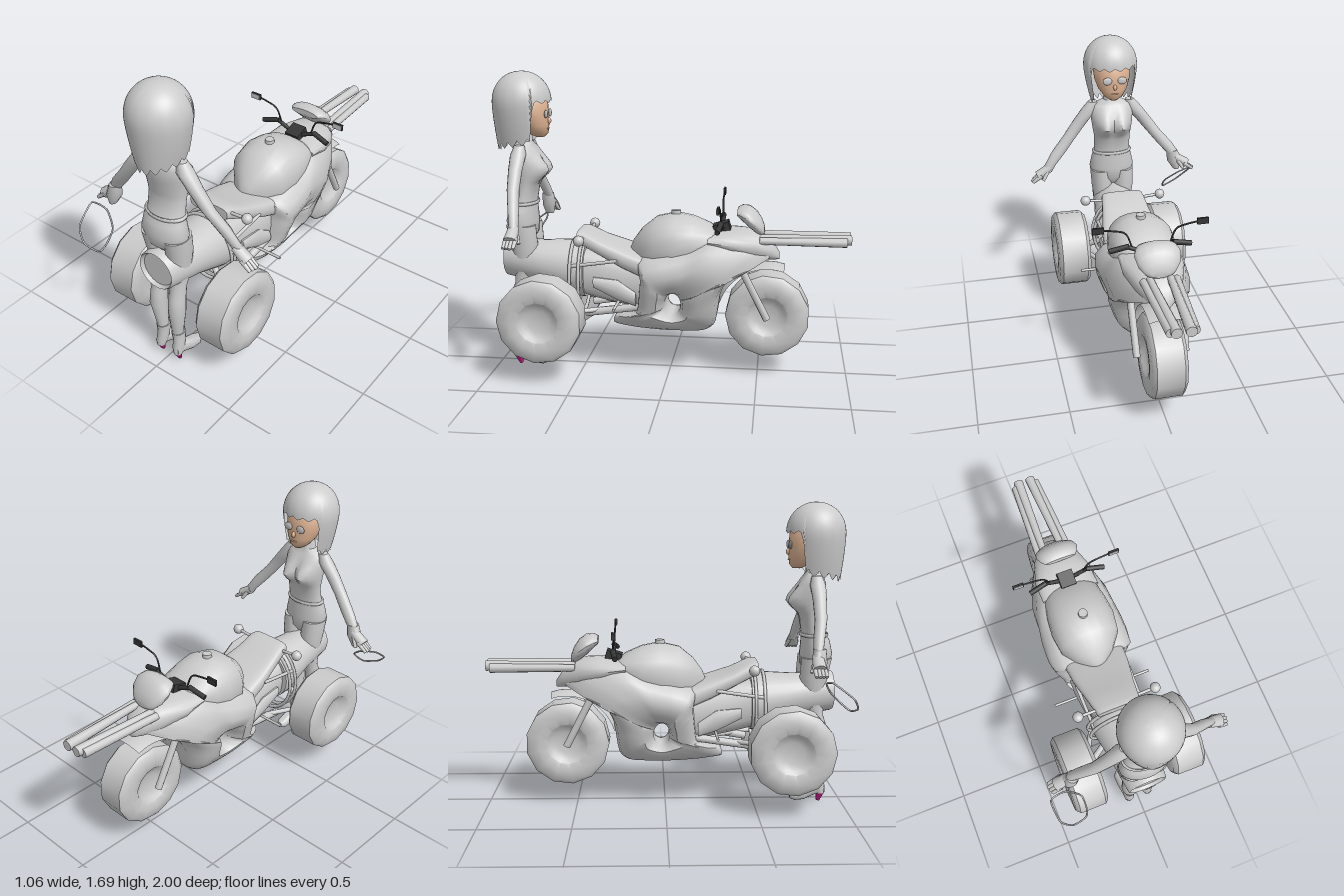
import * as THREE from 'three';
import { toCreasedNormals } from 'three/addons/utils/BufferGeometryUtils.js';

const material = (name, color, side = THREE.FrontSide) => {
  const m = new THREE.MeshStandardMaterial({ color, side });
  m.name = name;
  return m;
};

export function createModel() {
  const root = new THREE.Group();
  const grey = material('grey', 0xcccccc, THREE.DoubleSide);
  const dark = material('dark', 0x363636);
  const skin = material('skin', 0xdfb494);
  const pink = material('pink', 0xb8147f);
  const V = (x, y, z) => new THREE.Vector3(x, y, z);
  const rider = new THREE.Group(), trike = new THREE.Group();
  rider.name = 'rider';
  trike.name = 'trike';
  root.add(rider, trike);

  const add = (group, name, geo, mat = grey, x = 0, y = 0, z = 0) => {
    const mesh = new THREE.Mesh(geo, mat);
    mesh.name = name;
    mesh.position.set(x, y, z);
    group.add(mesh);
    return mesh;
  };
  // surface through a grid of points f(column, row)
  const grid = (nu, nv, f, crease = 0.8) => {
    const pos = [], idx = [];
    for (let i = 0; i <= nv; i++) for (let j = 0; j <= nu; j++) pos.push(...f(j, i));
    for (let i = 0; i < nv; i++) for (let j = 0; j < nu; j++) {
      const a = i * (nu + 1) + j, b = a + nu + 1;
      idx.push(a, b, a + 1, b, b + 1, a + 1);
    }
    const g = new THREE.BufferGeometry();
    g.setAttribute('position', new THREE.Float32BufferAttribute(pos, 3));
    g.setIndex(idx);
    return toCreasedNormals(g, crease);
  };
  // closed loft; along z a section is [z, cy, rx, ry], along y it is [y, cz, rx, rz, cx]
  const loft = (axis, sections, n = 20, power = 2, shift = () => 0) => grid(n, sections.length + 1, (j, i) => {
    const k = Math.min(Math.max(i - 1, 0), sections.length - 1);
    const [h, c, r1, r2, cx = 0] = sections[k];
    const cap = i === 0 || i === sections.length + 1 ? 0 : 1;
    const a = (j % n) / n * Math.PI * 2;
    const bend = t => Math.sign(t) * Math.pow(Math.abs(t), 2 / power) * cap;
    const x = cx + r1 * bend(Math.cos(a)), o = c + r2 * bend(Math.sin(a));
    return axis === 'z' ? [x, o, h] : [x, h, o + shift(x, h, o - c)];
  });
  const rod = (group, name, a, b, r, mat = grey, r2 = r) => {
    const d = b.clone().sub(a);
    const m = add(group, name, new THREE.CylinderGeometry(r2, r, d.length(), 10), mat);
    m.position.copy(a).addScaledVector(d, 0.5);
    m.quaternion.setFromUnitVectors(V(0, 1, 0), d.normalize());
    return m;
  };
  const blob = (group, name, x, y, z, rx, ry, rz, mat = grey) =>
    add(group, name, new THREE.SphereGeometry(1, 18, 12), mat, x, y, z).scale.set(rx, ry, rz);

  // wheels with dished hubs
  const wheel = (name, x, y, z, w) => {
    const profile = [[0, -0.6], [0.06, -0.64], [0.095, -0.75], [0.115, -0.95], [0.16, -1], [0.212, -0.96], [0.235, -0.75],
      [0.235, 0.75], [0.212, 0.96], [0.16, 1], [0.115, 0.95], [0.095, 0.75], [0.06, 0.64], [0, 0.6]];
    const g = new THREE.LatheGeometry(profile.map(([r, h]) => new THREE.Vector2(r, h * w)), 13);
    add(trike, name, toCreasedNormals(g, 0.7), grey, x, y, z).rotation.z = Math.PI / 2;
  };
  wheel('frontWheel', 0, 0.345, -0.55, 0.1);
  for (const s of [1, -1]) wheel('rearWheel', s * 0.305, 0.362, 0.68, 0.103);

  // fairing: a bulged shell round a through-hole
  const outline = new THREE.CatmullRomCurve3([[0.16, 0.57], [0.17, 0.67], [0.04, 0.71], [-0.12, 0.75], [-0.25, 0.81],
    [-0.42, 0.81], [-0.55, 0.77], [-0.59, 0.7], [-0.48, 0.66], [-0.36, 0.6], [-0.29, 0.48], [-0.26, 0.3], [-0.2, 0.245],
    [0, 0.24], [0.2, 0.25], [0.32, 0.265], [0.31, 0.315], [0.19, 0.36], [0.17, 0.46]].map(p => V(0, p[1], p[0])),
  true, 'catmullrom', 0.3).getPoints(64);
  const half = [[0, 0], [0, 0.45], [0.08, 0.75], [0.25, 0.96], [0.5, 1], [0.75, 0.97], [0.92, 0.8], [1, 0.45], [1, 0]];
  const loop = [...half, ...half.slice(1, -1).reverse().map(([t, s]) => [t, -s]), half[0]];
  const sample = (table, v) => {
    let i = 0;
    while (i < table.length - 2 && v > table[i + 1][0]) i++;
    const [a, b] = [table[i], table[i + 1]];
    return THREE.MathUtils.lerp(a[1], b[1], THREE.MathUtils.clamp((v - a[0]) / (b[0] - a[0]), 0, 1));
  };
  const widthByY = [[0.24, 0.11], [0.35, 0.19], [0.5, 0.24], [0.6, 0.255], [0.72, 0.225], [0.82, 0.195]];
  const widthByZ = [[-0.6, 0.35], [-0.4, 0.75], [-0.25, 0.92], [0.05, 1], [0.17, 0.95], [0.33, 0.7]];
  add(trike, 'fairing', grid(64, loop.length - 1, (j, i) => {
    const p = outline[j % 64], [t, s] = loop[i], a = Math.atan2(p.y - 0.4, p.z + 0.02);
    const z = THREE.MathUtils.lerp(-0.02 + 0.045 * Math.cos(a), p.z, t);
    const y = THREE.MathUtils.lerp(0.4 + 0.065 * Math.sin(a), p.y, t);
    return [s * sample(widthByY, y) * sample(widthByZ, z), y, z];
  }));

  // tank, nose, seat and tail
  add(trike, 'tank', loft('z', [[-0.27, 0.77, 0.11, 0.04], [-0.22, 0.76, 0.16, 0.09], [-0.13, 0.74, 0.18, 0.15],
    [-0.03, 0.73, 0.19, 0.18], [0.08, 0.72, 0.175, 0.165], [0.16, 0.7, 0.11, 0.12], [0.21, 0.68, 0.05, 0.07], [0.23, 0.66, 0.02, 0.04]], 24, 2.3));
  add(trike, 'fuelCap', new THREE.CylinderGeometry(0.026, 0.028, 0.03, 12), grey, 0, 0.91, -0.03);
  add(trike, 'noseCowl', loft('z', [[-0.22, 0.78, 0.17, 0.03], [-0.35, 0.765, 0.17, 0.065], [-0.48, 0.745, 0.13, 0.08],
    [-0.57, 0.71, 0.075, 0.05], [-0.61, 0.68, 0.03, 0.02]], 20, 2.4));
  add(trike, 'screenCowl', loft('z', [[-0.375, 0.925, 0.09, 0.02], [-0.4, 0.92, 0.11, 0.04], [-0.44, 0.9, 0.125, 0.058],
    [-0.48, 0.87, 0.115, 0.06], [-0.51, 0.84, 0.085, 0.045], [-0.525, 0.825, 0.05, 0.02]], 18));
  add(trike, 'seat', loft('z', [[0.12, 0.61, 0.18, 0.06], [0.25, 0.66, 0.17, 0.055], [0.38, 0.715, 0.145, 0.045],
    [0.48, 0.765, 0.13, 0.045], [0.515, 0.775, 0.125, 0.035]], 24, 4));
  add(trike, 'engineBody', loft('z', [[0.1, 0.5, 0.15, 0.14], [0.25, 0.52, 0.15, 0.14], [0.4, 0.55, 0.14, 0.14], [0.52, 0.57, 0.13, 0.13]], 16, 3));
  add(trike, 'jetTail', loft('z', [[0.48, 0.57, 0.165, 0.16], [0.54, 0.575, 0.165, 0.165], [0.73, 0.605, 0.135, 0.125],
    [0.935, 0.632, 0.113, 0.113], [0.945, 0.632, 0.107, 0.107], [0.925, 0.632, 0.095, 0.095]], 28));
  for (const z of [0.5, 0.55]) {
    const ring = add(trike, 'frameRing', new THREE.TorusGeometry(0.18, 0.01, 6, 28), grey, 0, 0.535, z);
    ring.scale.y = 1.16;
  }
  // curved front mudguard
  add(trike, 'mudguard', grid(8, 12, (j, i) => {
    const a = -0.32 + i * 0.135, u = j / 4 - 1, r = 0.295 - 0.02 * u * u;
    return [u * 0.09, 0.345 + r * Math.cos(a), -0.55 + r * Math.sin(a)];
  }));

  for (const s of [1, -1]) {
    // forks, cannon barrels, axle struts and pipes
    rod(trike, 'fork', V(s * 0.14, 0.66, -0.39), V(s * 0.135, 0.345, -0.55), 0.02);
    rod(trike, 'innerBarrel', V(s * 0.055, 0.79, -0.5), V(s * 0.036, 0.785, -1), 0.02, grey, 0.029);
    rod(trike, 'outerBarrel', V(s * 0.09, 0.78, -0.5), V(s * 0.06, 0.775, -0.975), 0.02, grey, 0.026);
    rod(trike, 'axleStrut', V(s * 0.08, 0.46, 0.58), V(s * 0.25, 0.362, 0.68), 0.018);
    rod(trike, 'lowerStrut', V(s * 0.06, 0.36, 0.3), V(s * 0.25, 0.362, 0.67), 0.014);
    rod(trike, 'exhaustPipe', V(s * 0.12, 0.39, 0.15), V(s * 0.11, 0.34, 0.47), 0.022);
    rod(trike, 'sideRail', V(s * 0.155, 0.62, 0.55), V(s * 0.16, 0.66, 0.28), 0.01);
    add(trike, 'sideCover', loft('z', [[0.18, 0.44, 0.02, 0.04], [0.28, 0.49, 0.025, 0.06], [0.42, 0.53, 0.015, 0.03]], 10), grey, s * 0.145);
    rod(trike, 'footPeg', V(s * 0.12, 0.42, 0.28), V(s * 0.3, 0.42, 0.28), 0.008);
    rod(trike, 'lampStalk', V(s * 0.12, 0.775, 0.48), V(s * 0.23, 0.785, 0.48), 0.009);
    blob(trike, 'rearLamp', s * 0.23, 0.785, 0.48, 0.03, 0.03, 0.03);
    // handlebar and mirrors
    rod(trike, 'handlebar', V(0, 0.82, -0.29), V(s * 0.13, 0.875, -0.29), 0.012, dark);
    rod(trike, 'grip', V(s * 0.12, 0.878, -0.29), V(s * 0.225, 0.85, -0.275), 0.015, dark);
    const stem = new THREE.CatmullRomCurve3([V(s * 0.1, 0.86, -0.29), V(s * 0.14, 0.955, -0.285), V(s * 0.2, 0.975, -0.285), V(s * 0.26, 0.985, -0.285)]);
    add(trike, 'mirrorStem', new THREE.TubeGeometry(stem, 12, 0.005, 6), dark);
    add(trike, 'mirror', new THREE.BoxGeometry(0.062, 0.036, 0.012), dark, s * 0.285, 0.985, -0.285);
    add(trike, 'mirrorGlass', new THREE.BoxGeometry(0.052, 0.028, 0.004), grey, s * 0.285, 0.985, -0.278);
  }
  add(trike, 'handlebarClamp', new THREE.BoxGeometry(0.09, 0.06, 0.09), dark, 0, 0.83, -0.29).rotation.x = 0.3;

  // torso with moulded bust, and belt
  const bust = (x, y, dz) => dz > 0 ? 0 : -0.06 * Math.min(1, -dz / 0.03)
    * Math.exp(-Math.pow((y - 1.14) / (y > 1.14 ? 0.075 : 0.05), 2) - Math.pow((Math.abs(x) - 0.055) / 0.05, 2));
  add(rider, 'torso', loft('y', [[0.74, 0.84, 0.05, 0.05], [0.78, 0.845, 0.12, 0.08], [0.85, 0.85, 0.14, 0.09], [0.92, 0.845, 0.125, 0.08],
    [0.97, 0.83, 0.112, 0.065], [1.05, 0.815, 0.112, 0.062], [1.08, 0.813, 0.115, 0.067], [1.11, 0.811, 0.12, 0.073], [1.14, 0.81, 0.124, 0.078],
    [1.17, 0.813, 0.128, 0.08], [1.2, 0.817, 0.132, 0.079], [1.24, 0.822, 0.132, 0.072],
    [1.27, 0.825, 0.12, 0.06], [1.3, 0.825, 0.05, 0.042], [1.38, 0.82, 0.035, 0.035]], 36, 2, bust));
  const belt = add(rider, 'belt', new THREE.TorusGeometry(1, 0.08, 6, 28), grey, 0, 0.955, 0.835);
  belt.rotation.x = Math.PI / 2;
  belt.scale.set(0.116, 0.075, 0.13);
  for (const s of [1, -1]) {
    // legs, boots and heels
    add(rider, 'leg', loft('y', [[0.16, 0.865, 0.03, 0.034, s * 0.052], [0.22, 0.87, 0.033, 0.037, s * 0.055], [0.35, 0.875, 0.048, 0.05, s * 0.064],
      [0.43, 0.865, 0.046, 0.048, s * 0.062], [0.5, 0.845, 0.044, 0.046, s * 0.058], [0.6, 0.825, 0.056, 0.062, s * 0.06],
      [0.72, 0.83, 0.066, 0.078, s * 0.067], [0.83, 0.845, 0.068, 0.085, s * 0.07]], 16));
    add(rider, 'bootShaft', loft('y', [[0.045, 0.885, 0.024, 0.026, s * 0.06], [0.08, 0.875, 0.031, 0.038, s * 0.058],
      [0.14, 0.863, 0.033, 0.037, s * 0.055], [0.19, 0.865, 0.037, 0.041, s * 0.053]], 14));
    add(rider, 'bootFoot', loft('z', [[0.905, 0.07, 0.02, 0.022], [0.85, 0.075, 0.029, 0.04], [0.79, 0.046, 0.034, 0.038],
      [0.74, 0.033, 0.034, 0.03], [0.71, 0.033, 0.018, 0.018]], 14, 2.4), grey, s * 0.061);
    rod(rider, 'heel', V(s * 0.06, 0.048, 0.885), V(s * 0.06, 0, 0.873), 0.024, pink, 0.01);
    // arms and hands
    add(rider, 'arm', loft('y', [[0.86, 0.785, 0.03, 0.022, s * 0.42], [0.9, 0.79, 0.035, 0.025, s * 0.4], [0.98, 0.805, 0.045, 0.03, s * 0.34],
      [1.07, 0.825, 0.043, 0.033, s * 0.265], [1.17, 0.83, 0.047, 0.038, s * 0.19], [1.24, 0.828, 0.05, 0.043, s * 0.135], [1.29, 0.825, 0.028, 0.028, s * 0.115]], 14));
    rod(rider, 'palm', V(s * 0.4, 0.89, 0.79), V(s * 0.475, 0.835, 0.79), 0.025, grey, 0.031).scale.z = 1.2;
    for (let f = 0; f < 4; f++)
      rod(rider, 'finger', V(s * 0.455, 0.845, 0.763 + f * 0.018), V(s * (0.52 - 0.006 * Math.abs(f - 1)), 0.803, 0.765 + f * 0.018), 0.013, grey, 0.009);
    rod(rider, 'thumb', V(s * 0.42, 0.865, 0.77), V(s * 0.45, 0.815, 0.75), 0.014, grey, 0.009);
    // eyes
    blob(rider, 'eye', s * 0.045, 1.455, 0.688, 0.028, 0.023, 0.008);
  }
  add(rider, 'cuff', loft('y', [[0.8, 0.8, 0.02, 0.025, -0.415], [0.86, 0.8, 0.045, 0.04, -0.4], [0.93, 0.8, 0.035, 0.035, -0.385]], 12));
  // rope loop hanging from the right hand
  const rope = new THREE.CatmullRomCurve3([V(-0.53, 0.775, 0.85), V(-0.44, 0.755, 0.83), V(-0.365, 0.69, 0.87), V(-0.358, 0.63, 0.93),
    V(-0.375, 0.595, 0.975), V(-0.46, 0.625, 0.995), V(-0.52, 0.69, 0.96)], true, 'catmullrom', 0.3);
  add(rider, 'rope', new THREE.TubeGeometry(rope, 42, 0.005, 6, true));

  // face and hair
  add(rider, 'face', loft('y', [[1.325, 0.735, 0.025, 0.025], [1.345, 0.745, 0.055, 0.055], [1.39, 0.765, 0.088, 0.08],
    [1.45, 0.785, 0.108, 0.1], [1.52, 0.8, 0.115, 0.11], [1.58, 0.82, 0.09, 0.09]], 24), skin);
  blob(rider, 'nose', 0, 1.415, 0.684, 0.011, 0.018, 0.014, skin);
  blob(rider, 'mouth', 0, 1.372, 0.688, 0.022, 0.005, 0.006, skin);
  add(rider, 'hair', grid(64, 20, (j, i) => {
    const a = (j / 64 - 0.5) * Math.PI * 2;
    const open = THREE.MathUtils.smoothstep(Math.abs(a), 2.05, 2.2);
    const jag = j % 4 === 0 ? 0.035 : j % 2 ? 0.015 : 0;
    const bottom = THREE.MathUtils.lerp(1.24 + 0.025 * Math.abs(a), 1.515, open) + jag * (1 - 0.5 * open);
    const y = 1.688 - (1.688 - bottom) * Math.pow(i / 20, 1.6);
    const k = y > 1.51 ? Math.sqrt(Math.max(0, 1 - Math.pow((y - 1.51) / 0.178, 2.2))) : 1 - 0.3 * Math.pow((1.51 - y) / 0.25, 1.4);
    return [0.163 * k * Math.sin(a), y, 0.835 + 0.165 * (k + (1 - k) * (y < 1.51 ? 0.5 : 0)) * Math.cos(a)];
  }, 1.1));
  return root;
}
